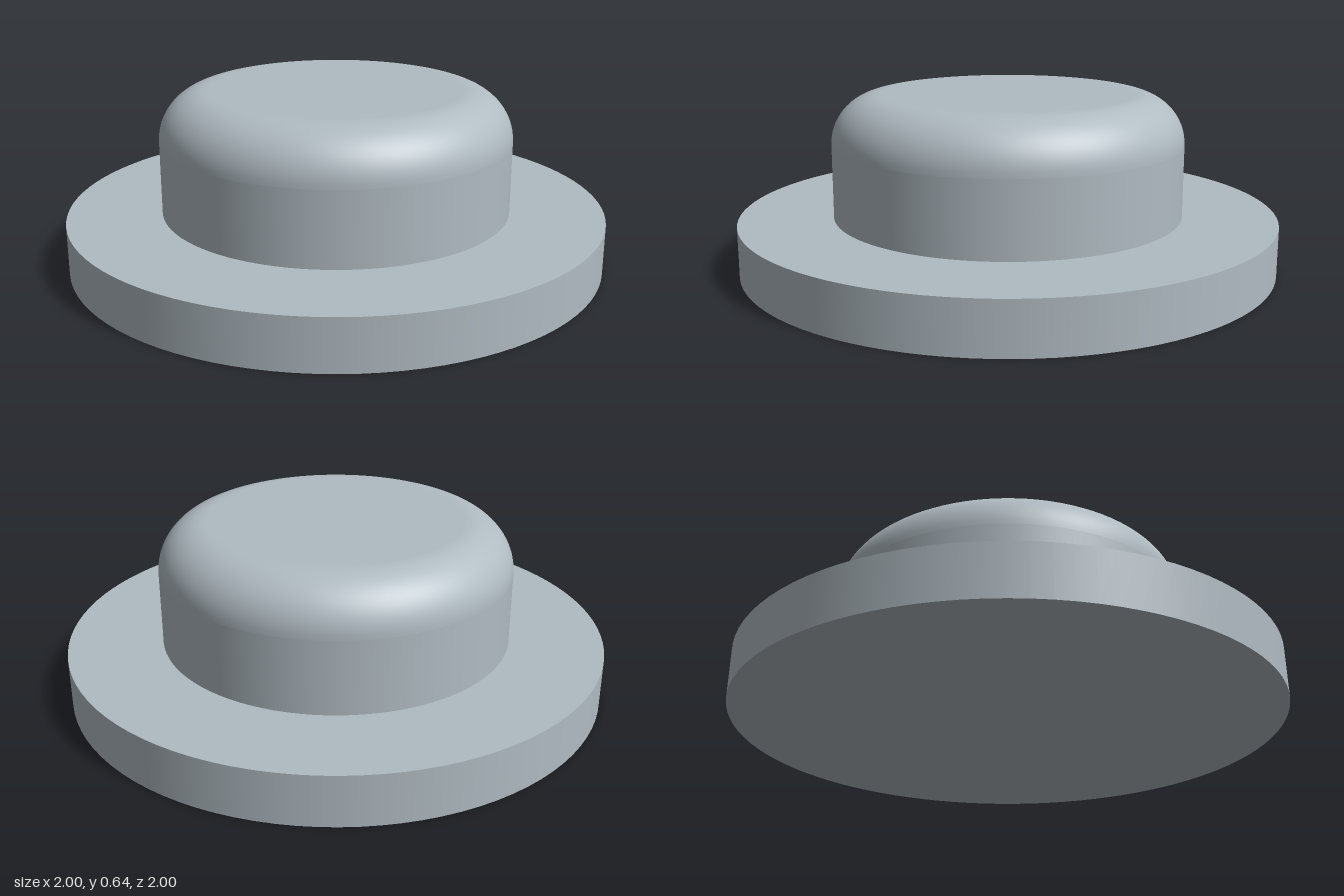
import * as THREE from 'three';

const SEGMENTS = 96;

export function createModel() {
  const model = new THREE.Group();
  model.name = 'flangedCap';
  const metal = new THREE.MeshStandardMaterial({ color: 0xb0bbc2 });
  metal.name = 'greyMetal';

  // flat round flange
  const flangeHeight = 0.185;
  const flange = new THREE.Mesh(
    new THREE.CylinderGeometry(1, 1, flangeHeight, SEGMENTS), metal);
  flange.name = 'flange';
  flange.position.y = flangeHeight / 2;
  model.add(flange);

  // cap with a rounded upper edge
  const radius = 0.653, top = 0.637, fillet = 0.18;
  const profile = [
    new THREE.Vector2(radius, flangeHeight),
    new THREE.Vector2(radius, top - fillet - 0.001), // keeps the wall shading straight
  ];
  const steps = 16;
  for (let i = 0; i <= steps; i++) {
    const a = (i / steps) * Math.PI / 2;
    profile.push(new THREE.Vector2(
      radius - fillet + fillet * Math.cos(a),
      top - fillet + fillet * Math.sin(a)));
  }
  profile.push(new THREE.Vector2(radius - fillet - 0.001, top)); // keeps the top shading flat
  profile.push(new THREE.Vector2(0, top));
  const cap = new THREE.Mesh(new THREE.LatheGeometry(profile, SEGMENTS), metal);
  cap.name = 'roundedCap';
  model.add(cap);

  return model;
}
